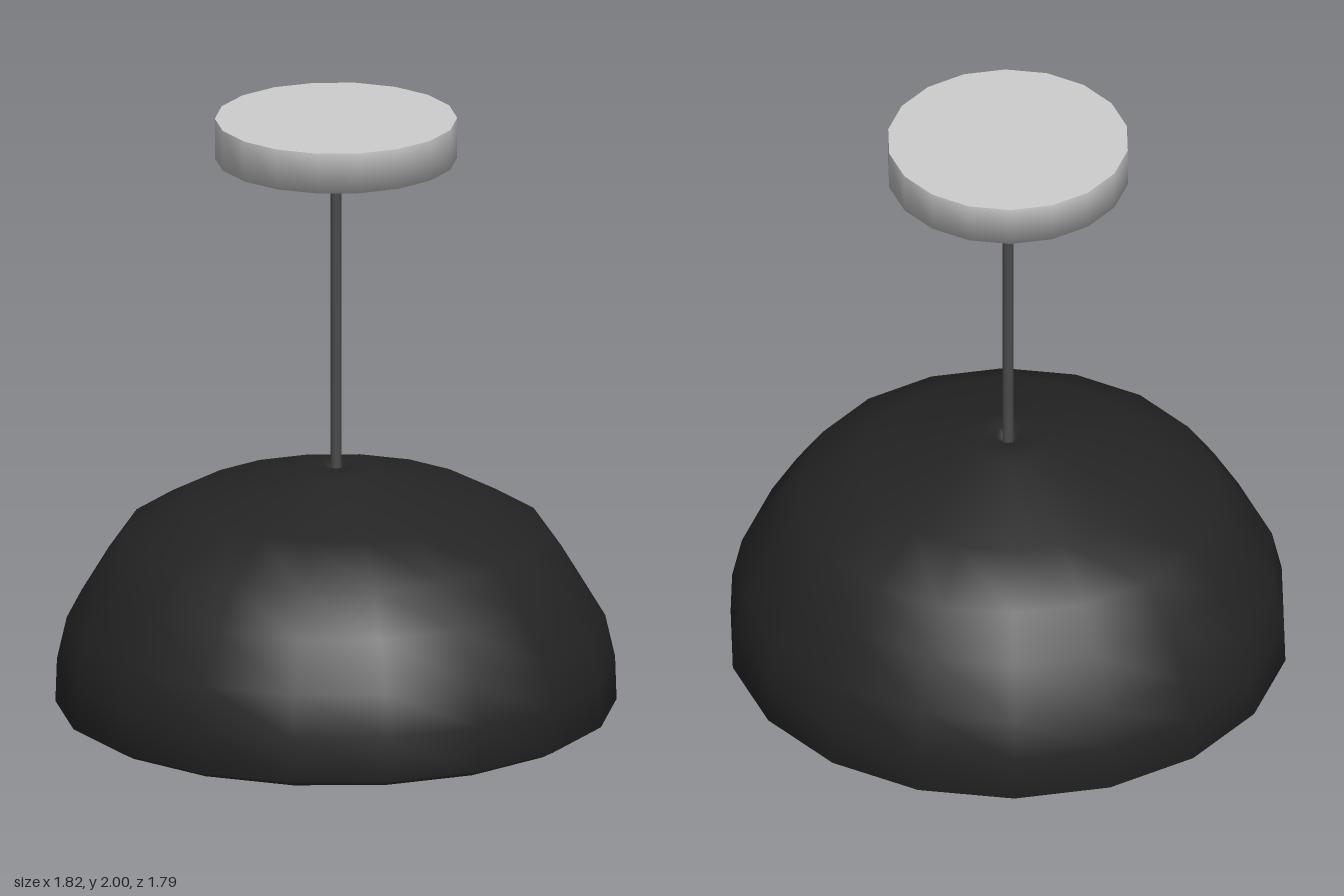
import * as THREE from 'three';

const SIDES = 18;

const mats = {
  black: new THREE.MeshStandardMaterial({ name: 'shadeBlack', color: 0x242424 }),
  white: new THREE.MeshStandardMaterial({ name: 'lightGrey', color: 0xcccccc }),
  grey: new THREE.MeshStandardMaterial({ name: 'rodGrey', color: 0x4a4a4a }),
};

// Revolve a profile of [radius, height] pairs, with a corner on the x axis
function lathe(name, profile, material, sides = SIDES) {
  const points = profile.map(([r, y]) => new THREE.Vector2(r, y));
  const mesh = new THREE.Mesh(new THREE.LatheGeometry(points, sides, Math.PI / 2), material);
  mesh.name = name;
  return mesh;
}

export function createModel() {
  const lamp = new THREE.Group();
  lamp.name = 'pendantLamp';

  // Domed outer shade, turning in at the rim and dipping around the rod
  lamp.add(lathe('shadeOuter', [
    [0.865, 0], [0.91, 0.025], [0.905, 0.17], [0.873, 0.31], [0.78, 0.465],
    [0.685, 0.602], [0.485, 0.71], [0.13, 0.815], [0.045, 0.825], [0.035, 0.79], [0, 0.79],
  ], mats.black));

  // Pale lining, running from crown to rim so that it faces inward
  lamp.add(lathe('shadeLining', [
    [0, 0.775], [0.13, 0.768], [0.465, 0.67], [0.655, 0.57],
    [0.745, 0.44], [0.835, 0.295], [0.865, 0.16], [0.865, 0],
  ], mats.white));

  // Suspension rod
  const rod = new THREE.Mesh(new THREE.CylinderGeometry(0.018, 0.018, 1.09, 10), mats.grey);
  rod.name = 'rod';
  rod.position.y = 1.325;
  lamp.add(rod);

  // Ceiling canopy: softly shaded underside and wall, flat top
  lamp.add(lathe('canopy', [[0, 1.865], [0.393, 1.865], [0.393, 2]], mats.white));
  const top = new THREE.Mesh(new THREE.CircleGeometry(0.393, SIDES).rotateX(-Math.PI / 2), mats.white);
  top.name = 'canopyTop';
  top.position.y = 2;
  lamp.add(top);

  return lamp;
}
